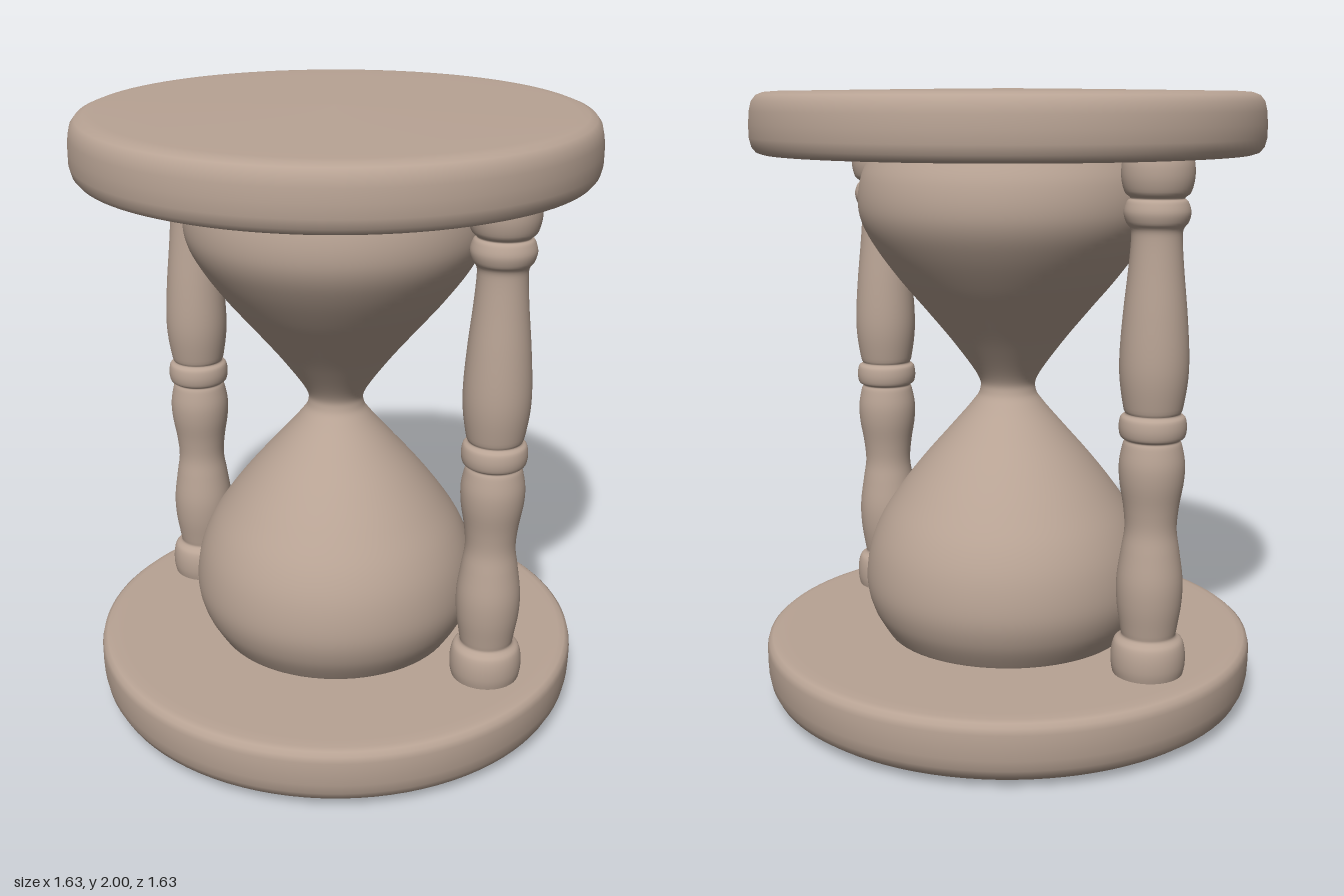
import * as THREE from 'three';

const clay = new THREE.MeshStandardMaterial({ color: 0xb8a394 });
clay.name = 'clay';

// Revolves [radius, y] points listed from bottom to top
function turned(name, points, segments, samples = 0) {
  let profile = points.map(([r, y]) => new THREE.Vector2(r, y));
  if (samples) profile = new THREE.SplineCurve(profile).getPoints(samples);
  const mesh = new THREE.Mesh(new THREE.LatheGeometry(profile, segments), clay);
  mesh.name = name;
  return mesh;
}

export function createModel() {
  const model = new THREE.Group();
  model.name = 'hourglass';

  // Round plates with softened rims and slightly domed outer faces
  const bottomPlate = turned('bottomPlate', [
    [0, 0], [0.3, 0.004], [0.6, 0.01], [0.73, 0.014], [0.765, 0.02], [0.79, 0.038],
    [0.804, 0.065], [0.811, 0.1], [0.813, 0.14], [0.813, 0.18], [0.808, 0.2],
    [0.795, 0.211], [0.775, 0.215], [0.74, 0.215], [0, 0.215],
  ], 96);
  const topPlate = turned('topPlate', [
    [0, 1.8], [0.74, 1.8], [0.775, 1.8], [0.793, 1.806], [0.806, 1.822], [0.813, 1.85],
    [0.813, 1.89], [0.81, 1.93], [0.803, 1.96], [0.788, 1.979], [0.765, 1.988],
    [0.73, 1.991], [0.6, 1.993], [0.3, 1.997], [0, 2],
  ], 96);

  // Two bulbs joined at a narrow neck
  const glass = turned('glassBulbs', [
    [0.385, 0.19], [0.41, 0.22], [0.455, 0.3], [0.475, 0.39], [0.462, 0.5], [0.423, 0.6],
    [0.358, 0.7], [0.28, 0.8], [0.193, 0.9], [0.12, 0.985], [0.092, 1.03], [0.1, 1.08],
    [0.178, 1.19], [0.268, 1.3], [0.352, 1.4], [0.425, 1.5], [0.468, 1.58],
    [0.48, 1.65], [0.468, 1.73], [0.435, 1.8], [0.425, 1.815],
  ], 72, 120);
  model.add(bottomPlate, topPlate, glass);

  // Turned posts with a foot, two swellings, beads and a cap
  const postProfile = [
    [0.106, 0.2], [0.115, 0.24], [0.115, 0.285], [0.106, 0.32], [0.086, 0.336],
    [0.088, 0.36], [0.1, 0.44], [0.102, 0.52], [0.09, 0.61], [0.08, 0.68],
    [0.085, 0.75], [0.098, 0.83], [0.1, 0.89], [0.09, 0.945], [0.084, 0.962],
    [0.098, 0.972], [0.103, 1.0], [0.098, 1.03], [0.084, 1.042],
    [0.09, 1.06], [0.102, 1.14], [0.104, 1.22], [0.096, 1.34], [0.083, 1.47],
    [0.076, 1.56], [0.078, 1.595], [0.092, 1.615], [0.099, 1.645], [0.09, 1.675],
    [0.08, 1.686], [0.097, 1.702], [0.107, 1.74], [0.107, 1.78], [0.1, 1.81],
  ];
  for (const [name, x] of [['leftPost', 0.605], ['rightPost', -0.605]]) {
    const post = turned(name, postProfile, 40, 140);
    post.position.x = x;
    model.add(post);
  }
  return model;
}
